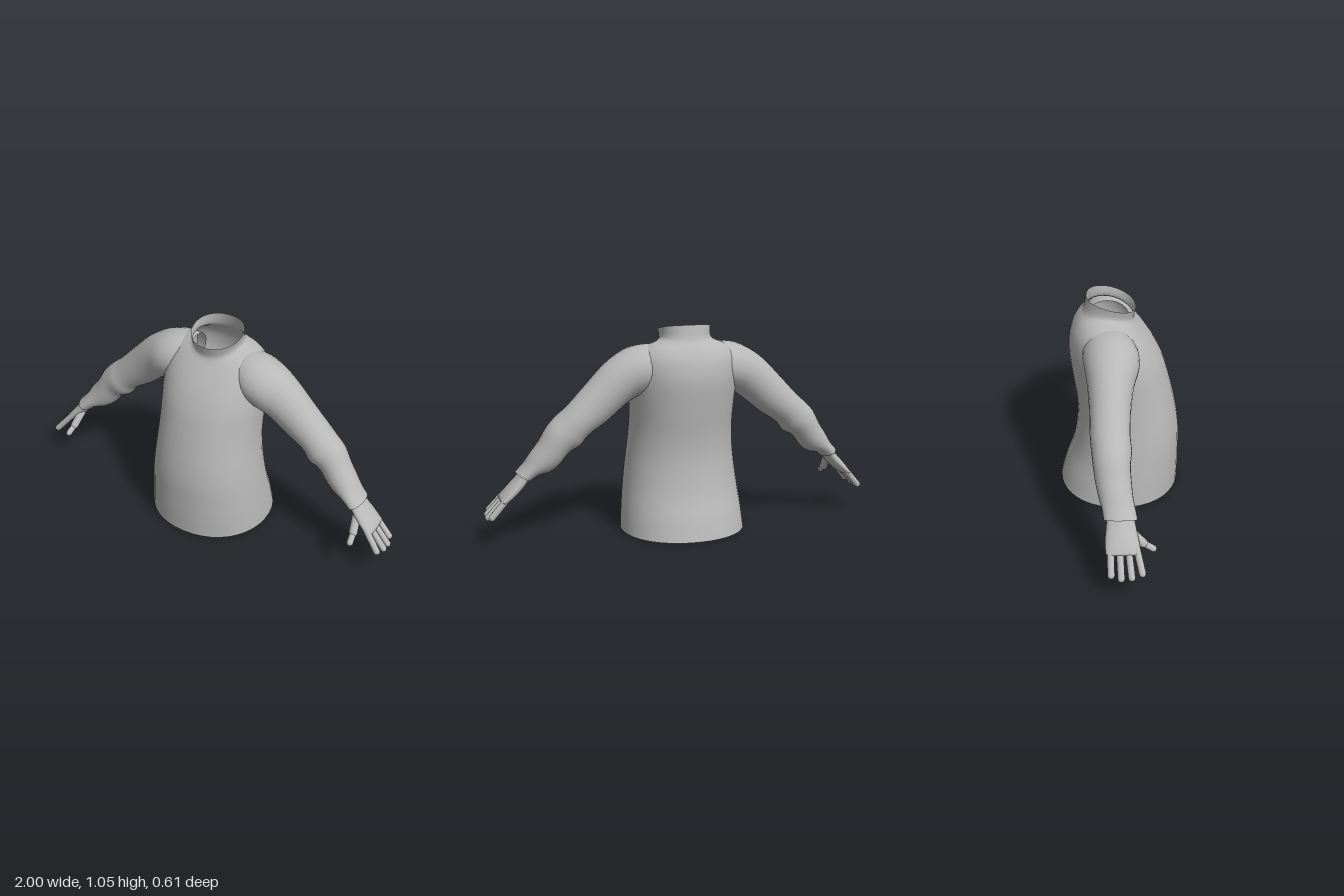
import * as THREE from 'three';

// Smoothly resample rows of numbers along their length
function resample(rows, steps) {
  const out = [];
  const at = i => rows[Math.max(0, Math.min(rows.length - 1, i))];
  for (let i = 0; i < rows.length - 1; i++) {
    for (let s = 0; s < steps; s++) {
      const t = s / steps;
      out.push(rows[i].map((b, k) => {
        const a = at(i - 1)[k], c = at(i + 1)[k], d = at(i + 2)[k];
        return 0.5 * (2 * b + (c - a) * t + (2 * a - 5 * b + 4 * c - d) * t * t
          + (3 * b - a - 3 * c + d) * t * t * t);
      }));
    }
  }
  out.push(rows[rows.length - 1]);
  return out;
}

// Skin a list of closed rings with smooth normals
function loft(rings) {
  const n = rings[0].length, index = [];
  for (let i = 0; i < rings.length - 1; i++) {
    for (let j = 0; j < n; j++) {
      const k = (j + 1) % n;
      const a = i * n + j, b = i * n + k, c = (i + 1) * n + k, d = (i + 1) * n + j;
      index.push(a, b, c, a, c, d);
    }
  }
  const geo = new THREE.BufferGeometry().setFromPoints(rings.flat());
  geo.setIndex(index);
  geo.computeVertexNormals();
  return geo;
}

// Flat lid over one ring
function lid(ring, flip) {
  const centre = ring.reduce((s, p) => s.add(p), new THREE.Vector3()).divideScalar(ring.length);
  const index = [];
  for (let j = 1; j <= ring.length; j++) {
    const k = j % ring.length + 1;
    index.push(0, flip ? k : j, flip ? j : k);
  }
  const geo = new THREE.BufferGeometry().setFromPoints([centre, ...ring]);
  geo.setIndex(index);
  geo.computeVertexNormals();
  return geo;
}

// Torso ring: front, side and back height, half width, front z, back z
function torsoRing([yF, yS, yB, w, zF, zB]) {
  return Array.from({ length: 40 }, (_, j) => {
    const t = j / 40 * Math.PI * 2;
    const soft = v => Math.sign(v) * Math.abs(v) ** 0.94;
    const c = soft(Math.cos(t)), s = soft(Math.sin(t));
    return new THREE.Vector3(
      w * s,
      yS + (yF - yB) / 2 * c + ((yF + yB) / 2 - yS) * c * c,
      (zF + zB) / 2 + (zF - zB) / 2 * c);
  });
}

// Limb ring: upper edge x, y, lower edge x, y, front z, back z
function limbRing([tx, ty, bx, by, zF, zB]) {
  return Array.from({ length: 24 }, (_, j) => {
    const t = j / 24 * Math.PI * 2, c = Math.cos(t), s = Math.sin(t);
    return new THREE.Vector3(
      (tx + bx) / 2 + (tx - bx) / 2 * c,
      (ty + by) / 2 + (ty - by) / 2 * c,
      (zF + zB) / 2 + (zF - zB) / 2 * s);
  });
}

export function createModel() {
  const cloth = new THREE.MeshStandardMaterial({ color: 0xb8b8b8, side: THREE.DoubleSide });
  cloth.name = 'plain grey';
  const model = new THREE.Group();
  model.name = 'sweaterTorso';

  const add = (parent, name, geo) => {
    const mesh = new THREE.Mesh(geo, cloth);
    mesh.name = name;
    parent.add(mesh);
    return mesh;
  };

  // Body with open, tilted collar
  const body = resample([
    [0, 0, 0, 0.315, 0.3, -0.305],
    [0.1, 0.1, 0.1, 0.307, 0.303, -0.277],
    [0.2, 0.2, 0.2, 0.296, 0.303, -0.242],
    [0.3, 0.3, 0.3, 0.284, 0.302, -0.222],
    [0.4, 0.4, 0.4, 0.272, 0.29, -0.212],
    [0.5, 0.5, 0.5, 0.263, 0.27, -0.216],
    [0.6, 0.6, 0.6, 0.261, 0.245, -0.23],
    [0.7, 0.7, 0.7, 0.265, 0.215, -0.243],
    [0.79, 0.8, 0.79, 0.265, 0.17, -0.25],
    [0.86, 0.89, 0.87, 0.25, 0.12, -0.237],
    [0.9, 0.943, 0.92, 0.2, 0.088, -0.215],
    [0.92, 0.963, 0.95, 0.147, 0.075, -0.195],
    [0.94, 0.982, 0.98, 0.126, 0.071, -0.174],
    [0.985, 1.023, 1.047, 0.13, 0.08, -0.16],
  ], 3).map(torsoRing);
  add(model, 'bodyAndCollar', loft(body));
  add(model, 'hemBase', lid(body[0], true));

  for (const side of [1, -1]) {
    const arm = new THREE.Group();
    arm.name = side > 0 ? 'leftArm' : 'rightArm';
    arm.scale.x = side;
    model.add(arm);

    // Sleeve, slightly bunched at the elbow and forearm
    const sleeve = resample([
      [0.13, 0.945, 0.15, 0.76, 0.05, -0.16],
      [0.21, 0.95, 0.2, 0.71, 0.085, -0.18],
      [0.3, 0.928, 0.26, 0.69, 0.088, -0.172],
      [0.4, 0.865, 0.325, 0.645, 0.06, -0.158],
      [0.5, 0.765, 0.405, 0.58, 0.043, -0.15],
      [0.595, 0.665, 0.495, 0.52, 0.038, -0.148],
      [0.645, 0.622, 0.535, 0.47, 0.044, -0.142],
      [0.695, 0.57, 0.59, 0.44, 0.036, -0.136],
      [0.735, 0.5, 0.64, 0.38, 0.04, -0.125],
      [0.775, 0.445, 0.685, 0.347, 0.045, -0.112],
      [0.81, 0.39, 0.735, 0.335, 0.054, -0.098],
      [0.846, 0.35, 0.775, 0.308, 0.063, -0.09],
    ], 3).map(limbRing);
    add(arm, 'sleeve', loft(sleeve));
    add(arm, 'cuffEnd', lid(sleeve[sleeve.length - 1], false));

    // Palm
    const palm = resample([
      [0.815, 0.365, 0.77, 0.33, 0.045, -0.075],
      [0.853, 0.318, 0.807, 0.28, 0.056, -0.08],
      [0.885, 0.283, 0.846, 0.24, 0.066, -0.085],
      [0.918, 0.243, 0.885, 0.21, 0.073, -0.084],
      [0.928, 0.225, 0.907, 0.205, 0.066, -0.076],
      [0.921, 0.212, 0.919, 0.21, 0.01, -0.02],
    ], 3).map(limbRing);
    add(arm, 'palm', loft(palm));

    // Fingers and thumb as rounded rods between two points
    const rod = (name, a, b, r) => {
      const p = new THREE.Vector3(...a), q = new THREE.Vector3(...b);
      const dir = q.clone().sub(p);
      const mesh = add(arm, name, new THREE.CapsuleGeometry(r, dir.length(), 5, 12));
      mesh.position.copy(p).add(q).multiplyScalar(0.5);
      mesh.quaternion.setFromUnitVectors(new THREE.Vector3(0, 1, 0), dir.normalize());
    };
    [
      ['indexFinger', 0.055, 0.08, 0.968, 0.149],
      ['middleFinger', 0.019, 0.032, 0.983, 0.139],
      ['ringFinger', -0.02, -0.015, 0.984, 0.135],
      ['littleFinger', -0.061, -0.06, 0.972, 0.145],
    ].forEach(([name, z0, z1, x, y]) => rod(name, [0.892, 0.237, z0], [x, y, z1], 0.0165));
    rod('thumbBase', [0.828, 0.28, 0.03], [0.842, 0.218, 0.088], 0.021);
    rod('thumbTip', [0.842, 0.218, 0.088], [0.848, 0.191, 0.133], 0.016);
  }
  return model;
}
